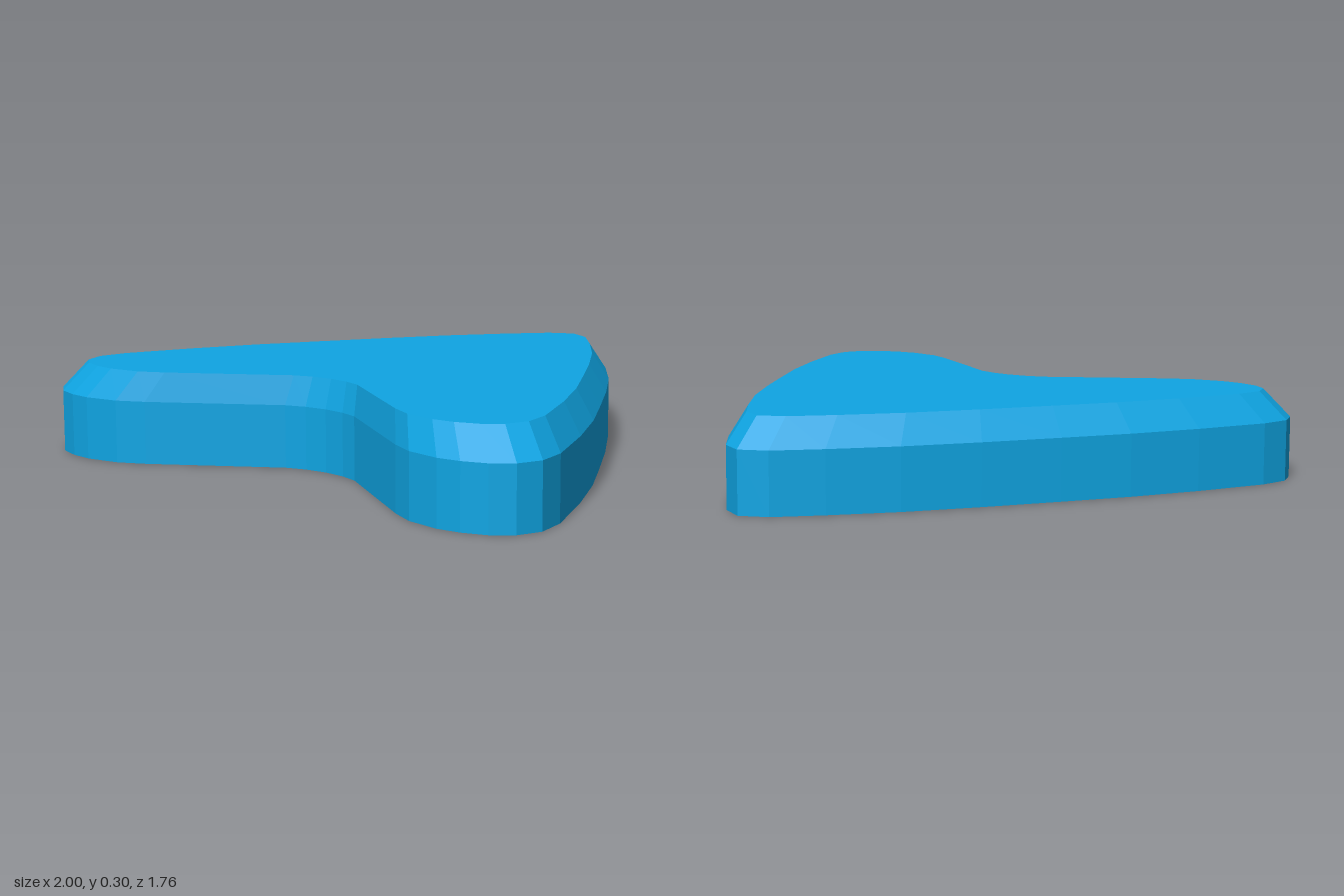
import * as THREE from 'three';

// Right half of the outline as [x, z], from the rear tip round to the front notch
const HALF = [
  [0, -0.88], [0.09, -0.835], [0.205, -0.705], [0.35, -0.52], [0.495, -0.30],
  [0.635, -0.07], [0.76, 0.14], [0.875, 0.365], [0.98, 0.605], [1, 0.715],
  [0.97, 0.795], [0.91, 0.845], [0.83, 0.872], [0.75, 0.88], [0.63, 0.86],
  [0.54, 0.815], [0.15, 0.565], [0.08, 0.543], [0, 0.535],
];
const SHOULDER = 0.205; // height where the bevel starts
const HEIGHT = 0.3;
const TOP_SCALE = 0.918; // top face shrinks to form the bevel
const TOP_SHIFT = 0.0175;

export function createModel() {
  const group = new THREE.Group();
  group.name = 'arrowhead';

  // Mirror the half outline into a closed shape
  const mirrored = HALF.slice(1, -1).reverse().map(([x, z]) => [-x, z]);
  const outline = [...HALF, ...mirrored].map(([x, z]) => new THREE.Vector2(x, -z));
  const geometry = new THREE.ExtrudeGeometry(new THREE.Shape(outline), {
    depth: 2, steps: 2, bevelEnabled: false,
  });
  geometry.rotateX(-Math.PI / 2);

  // Three levels: base, shoulder and the inset top
  const p = geometry.attributes.position;
  for (let i = 0; i < p.count; i++) {
    const level = Math.round(p.getY(i));
    p.setY(i, [0, SHOULDER, HEIGHT][level]);
    if (level === 2) {
      p.setX(i, p.getX(i) * TOP_SCALE);
      p.setZ(i, p.getZ(i) * TOP_SCALE + TOP_SHIFT);
    }
  }
  geometry.computeVertexNormals();

  const body = new THREE.Mesh(
    geometry,
    new THREE.MeshStandardMaterial({ color: 0x0fa5e3, flatShading: true }),
  );
  body.name = 'bevelledBody';
  group.add(body);
  return group;
}
